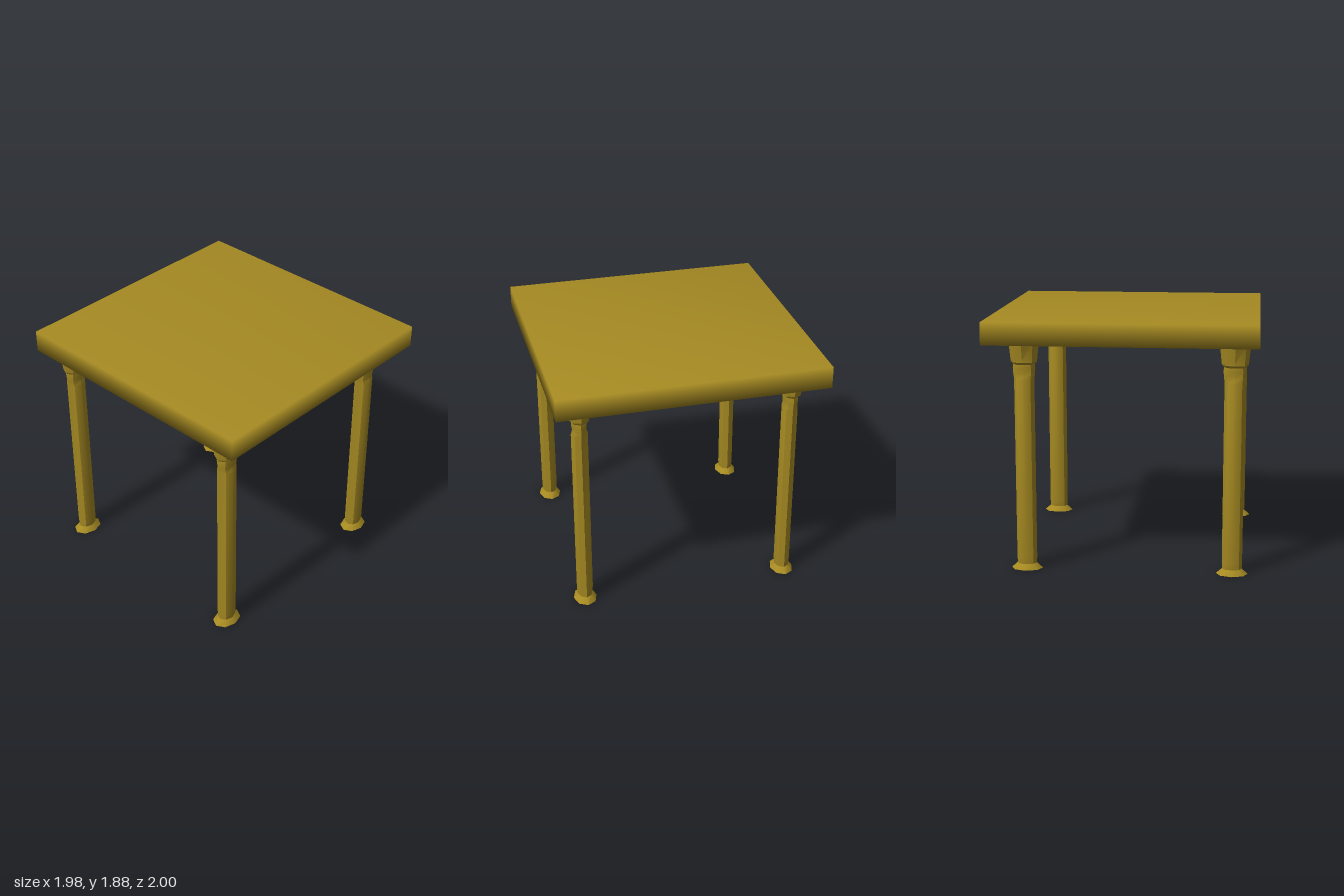
import * as THREE from 'three';
import { mergeVertices, toCreasedNormals } from 'three/addons/utils/BufferGeometryUtils.js';

// Leg cross-sections from top to bottom: [y, half-width in x, half-width in z]
const LEG_RINGS = [
  [1.712, 0.112, 0.116],
  [1.58, 0.098, 0.08],
  [1.565, 0.096, 0.08],
  [1.547, 0.08, 0.058],
  [1.52, 0.083, 0.058],
  [1.475, 0.08, 0.051],
  [1.44, 0.075, 0.062],
  [0.09, 0.075, 0.062],
  [0.04, 0.073, 0.056],
  [0, 0.118, 0.089],
];

// Eight-sided column whose rows follow the rings
function legGeometry() {
  const rows = LEG_RINGS.length - 1;
  const geo = new THREE.CylinderGeometry(1, 1, 1, 8, rows);
  const pos = geo.attributes.position;
  for (let i = 0; i < pos.count; i++) {
    const [y, rx, rz] = LEG_RINGS[Math.round((0.5 - pos.getY(i)) * rows)];
    pos.setXYZ(i, pos.getX(i) * rx, y, pos.getZ(i) * rz);
  }
  return toCreasedNormals(geo, 0.7);
}

// Slab with shared corners, so that shading rolls over the rim
function slabGeometry() {
  const geo = new THREE.BoxGeometry(1.98, 0.165, 2);
  geo.deleteAttribute('normal');
  geo.deleteAttribute('uv');
  const soft = mergeVertices(geo);
  soft.computeVertexNormals();
  return soft;
}

export function createModel() {
  const wood = new THREE.MeshStandardMaterial({ color: 0xa68a22 });
  wood.name = 'golden wood';
  const table = new THREE.Group();
  table.name = 'table';

  const top = new THREE.Mesh(slabGeometry(), wood);
  top.name = 'tabletop';
  top.position.y = 1.7925;
  table.add(top);

  // Four legs, set slightly towards the right of the top
  const geo = legGeometry();
  for (const [side, x] of [['Left', 0.714], ['Right', -0.816]]) {
    for (const [end, z] of [['front', 0.79], ['back', -0.79]]) {
      const leg = new THREE.Mesh(geo, wood);
      leg.name = `${end}${side}Leg`;
      leg.position.set(x, 0, z);
      table.add(leg);
    }
  }
  return table;
}
